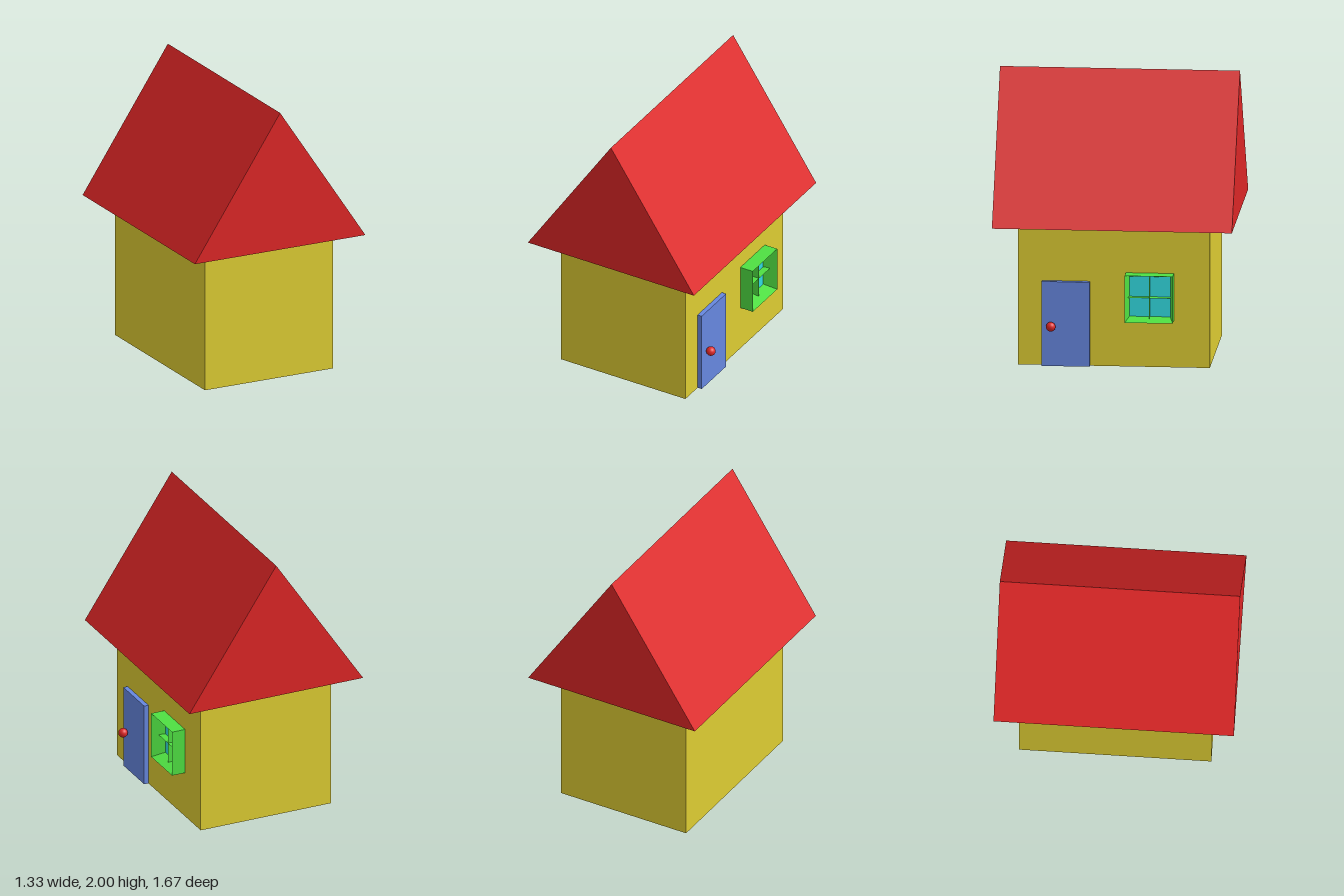
import * as THREE from 'three';

const mat = (name, color, extra = {}) => {
  const m = new THREE.MeshStandardMaterial({ color, ...extra });
  m.name = name;
  return m;
};

export function createModel() {
  const yellow = mat('wallYellow', 0xddcc32);
  const red = mat('roofRed', 0xdd2626);
  const blue = mat('doorBlue', 0x6687df);
  const green = mat('frameGreen', 0x4fdf42, { flatShading: true, side: THREE.DoubleSide });
  const cyan = mat('glassCyan', 0x32dce2);

  const house = new THREE.Group();
  house.name = 'house';
  const add = (parent, name, geometry, material, x = 0, y = 0, z = 0) => {
    const mesh = new THREE.Mesh(geometry, material);
    mesh.name = name;
    mesh.position.set(x, y, z);
    parent.add(mesh);
    return mesh;
  };

  // Walls
  add(house, 'walls', new THREE.BoxGeometry(1, 1, 1.333), yellow, 0, 0.5, 0);

  // Gable roof: a solid triangular prism overhanging the walls
  const gable = new THREE.Shape([
    new THREE.Vector2(-0.667, 1),
    new THREE.Vector2(0.667, 1),
    new THREE.Vector2(0, 2),
  ]);
  const roof = new THREE.ExtrudeGeometry(gable, { depth: 1.667, bevelEnabled: false });
  add(house, 'roof', roof, red, 0, 0, -0.8335);

  // Door and its round knob
  add(house, 'door', new THREE.BoxGeometry(0.033, 0.6, 0.333), blue, 0.5165, 0.3, 0.333);
  add(house, 'doorKnob', new THREE.SphereGeometry(0.033, 24, 16), red, 0.567, 0.287, 0.433);

  // Window: square frame with inward-sloping reveals, pane and crossed thin bars
  const windowGroup = new THREE.Group();
  windowGroup.name = 'window';
  windowGroup.position.set(0.5, 0.5, -0.25);
  house.add(windowGroup);

  const outer = 0.1667, inner = 0.1417, depth = 0.1;
  const profile = [[outer, 0], [outer, depth], [inner, 0.002]]
    .map(([half, out]) => new THREE.Vector2(half * Math.SQRT2, out));
  const frame = new THREE.LatheGeometry(profile, 4, Math.PI / 4).rotateZ(-Math.PI / 2);
  add(windowGroup, 'windowFrame', frame, green);

  const pane = new THREE.PlaneGeometry(inner * 2, inner * 2).rotateY(Math.PI / 2);
  add(windowGroup, 'windowPane', pane, cyan, 0.002);

  const barLength = 0.295, barDepth = 0.05;
  add(windowGroup, 'verticalBar', new THREE.PlaneGeometry(barDepth, barLength), green, 0.027);
  add(windowGroup, 'horizontalBar',
    new THREE.PlaneGeometry(barDepth, barLength).rotateX(-Math.PI / 2), green, 0.027);

  return house;
}
